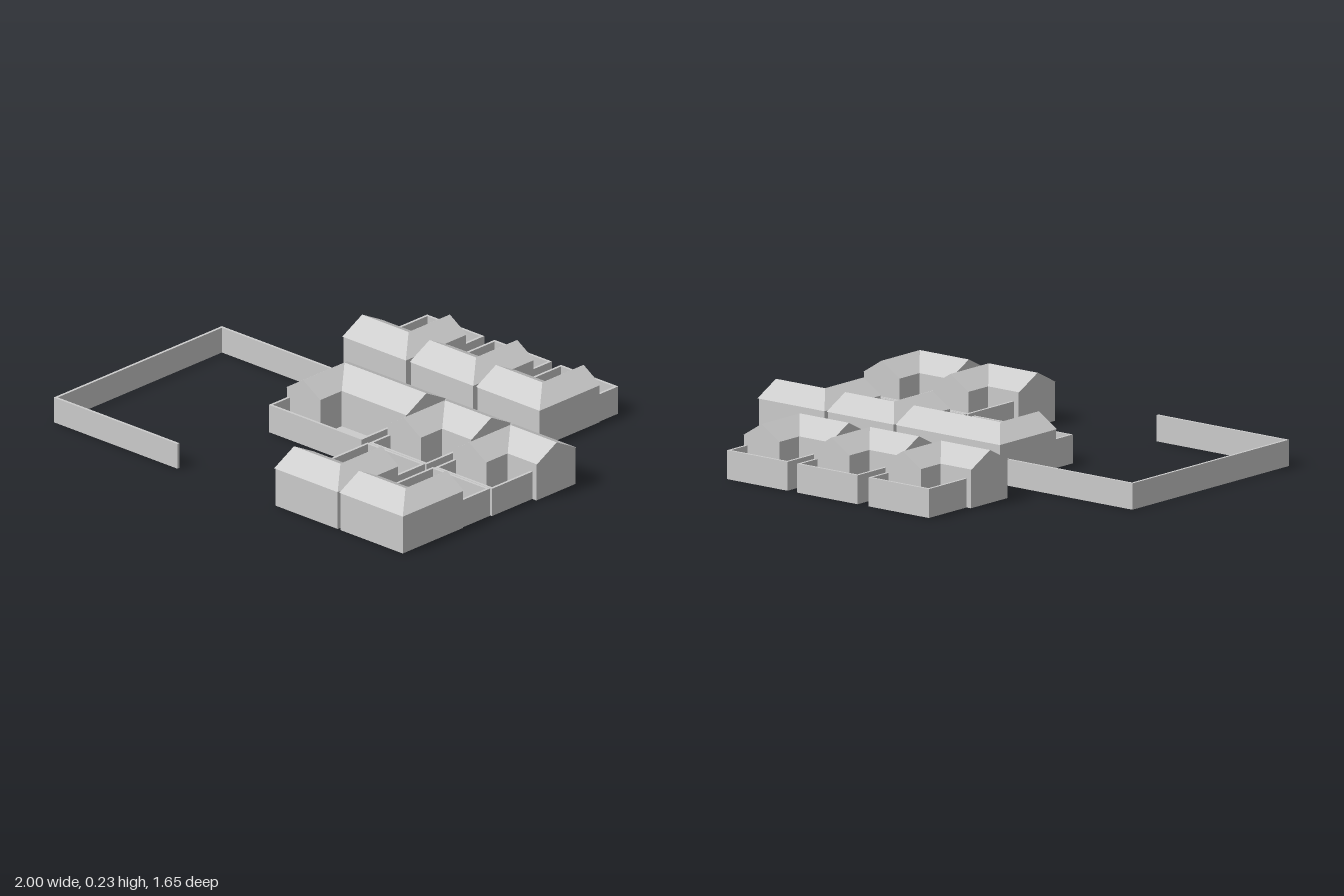
import * as THREE from 'three';

const WALL_H = 0.165, RIDGE_H = 0.226, YARD_H = 0.122, FENCE_H = 0.111;
const X_WING = 0.238; // depth of the wing running along x
const Z_WING = 0.193; // width of the wing running along z
const Z_LEN = 0.366;  // length of the wing running along z
const T = 0.012;      // yard wall thickness

// Flat outline on the ground (x, distance towards the back), raised to height h
function raise(points, h) {
  const shape = new THREE.Shape(points.map(([x, v]) => new THREE.Vector2(x, v)));
  return new THREE.ExtrudeGeometry(shape, { depth: h, bevelEnabled: false }).rotateX(-Math.PI / 2);
}

// L-shaped gable roof swept through three sections of outer eave, ridge, inner eave
function roofGeometry(w) {
  const section = (outer, ridge, inner) => [
    [outer[0], WALL_H, -outer[1]],
    [ridge[0], RIDGE_H, -ridge[1]],
    [inner[0], WALL_H, -inner[1]],
  ];
  const rx = Z_WING / 2, rv = X_WING / 2;
  const s = [
    section([-w, 0], [-w, rv], [-w, X_WING]),
    section([0, 0], [-rx, rv], [-Z_WING, X_WING]),
    section([0, Z_LEN], [-rx, Z_LEN], [-Z_WING, Z_LEN]),
  ];
  const pos = [];
  const tri = (a, b, c) => pos.push(...a, ...b, ...c);
  for (let i = 0; i < 2; i++) {
    for (let j = 0; j < 3; j++) {
      const k = (j + 1) % 3;
      tri(s[i][j], s[i + 1][j], s[i + 1][k]);
      tri(s[i][j], s[i + 1][k], s[i][k]);
    }
  }
  tri(...s[0]);
  tri(s[2][2], s[2][1], s[2][0]);
  const g = new THREE.BufferGeometry();
  g.setAttribute('position', new THREE.Float32BufferAttribute(pos, 3));
  g.computeVertexNormals();
  return g;
}

// Courtyard house with its outer roof corner at the local origin
function house(w, d, mat) {
  const g = new THREE.Group();
  const add = (name, geometry) => {
    const m = new THREE.Mesh(geometry, mat);
    m.name = name;
    g.add(m);
  };
  const end = -w + 0.007, zEnd = Z_LEN - 0.006, inX = -Z_WING + 0.004, inV = X_WING - 0.004;
  add('houseWalls', raise([[0, 0], [0, zEnd], [inX, zEnd], [inX, inV], [end, inV], [end, 0]], WALL_H));
  add('roof', roofGeometry(w));

  // Yard: thin floor and a low wall on its open sides
  const l = -w + 0.03, r = -0.005;
  add('yardFloor', raise([[l, inV], [inX, inV], [inX, zEnd], [r, zEnd], [r, d], [l, d]], 0.005));
  add('yardWall', raise([
    [l, inV], [l + T, inV], [l + T, d - T], [r - T, d - T],
    [r - T, zEnd], [r, zEnd], [r, d], [l, d],
  ], YARD_H));
  return g;
}

export function createModel() {
  const model = new THREE.Group();
  const grey = new THREE.MeshStandardMaterial({ color: 0xcccccc });
  grey.name = 'plainGrey';

  const place = (name, x, z, w, d, turned) => {
    const h = house(w, d, grey);
    h.name = name;
    h.position.set(x, 0, z);
    if (turned) h.rotation.y = Math.PI;
    model.add(h);
  };
  // Back row
  [-0.123, 0.257, 0.631].forEach((x, i) => place('backHouse' + (i + 1), x, -0.35, 0.358, 0.476, false));
  // Middle row, facing the other way; the first house is wider
  [[-0.293, 0.558], [0.273, 0.358], [0.642, 0.358]].forEach(([x, w], i) =>
    place('middleHouse' + (i + 1), x, -0.18, w, 0.475, true));
  // Front row
  [0.6, 0.967].forEach((x, i) => place('frontHouse' + (i + 1), x, 0.826, 0.358, 0.528, false));

  // Boundary wall around three sides of the open plot
  const x0 = -1, x1 = -0.303, v0 = -0.826, v1 = 0.18;
  const fence = new THREE.Mesh(raise([
    [x0, v0], [x1, v0], [x1, v0 + T], [x0 + T, v0 + T],
    [x0 + T, v1 - T], [x1, v1 - T], [x1, v1], [x0, v1],
  ], FENCE_H), grey);
  fence.name = 'boundaryWall';
  model.add(fence);
  return model;
}
